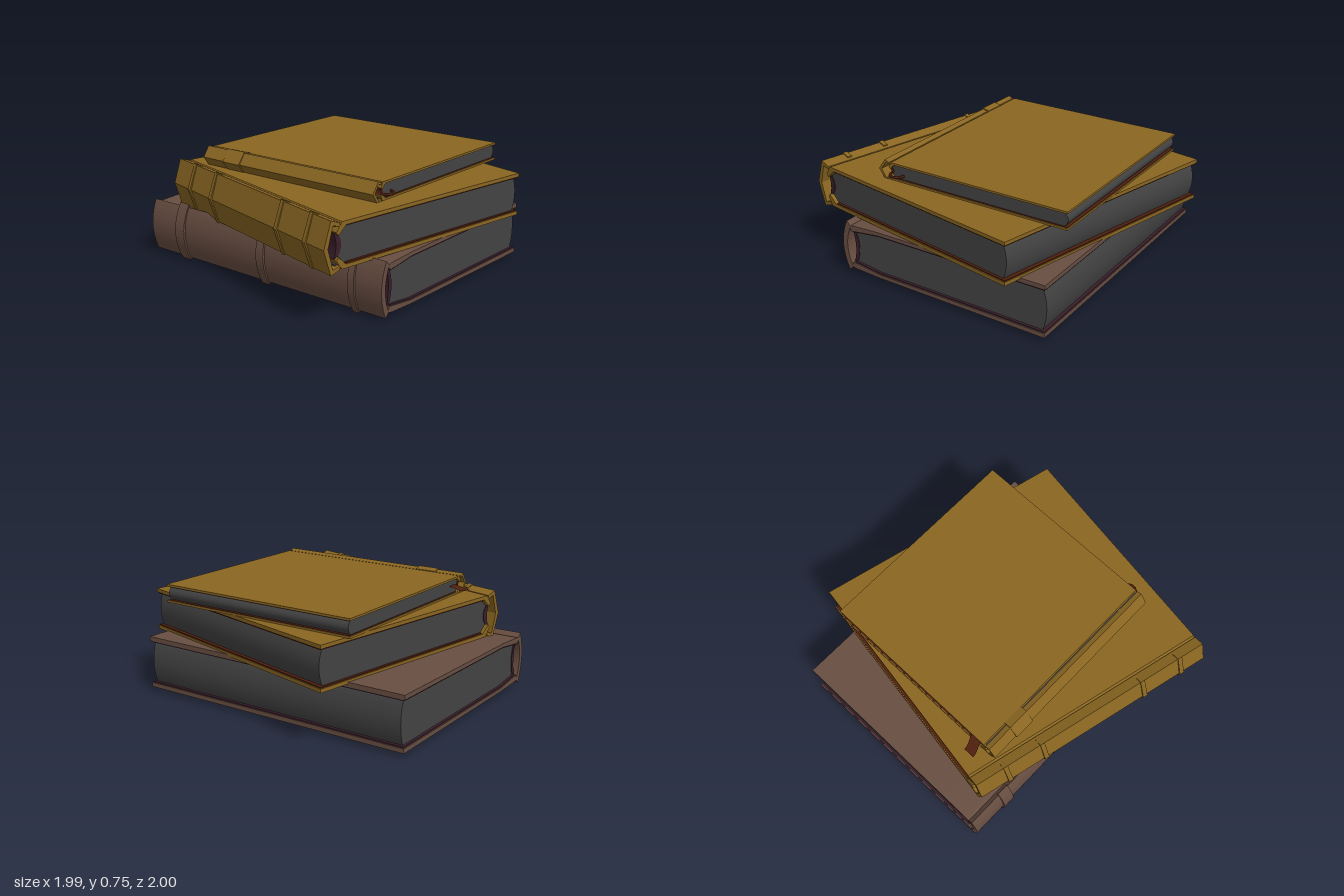
import * as THREE from 'three';

const mat = (name, color, side = THREE.FrontSide) => {
  const m = new THREE.MeshStandardMaterial({ color, side });
  m.name = name;
  return m;
};

// Outline from points: [x, y] is a line, [cx, cy, x, y] is a curve. s = -1 mirrors it in y.
function outline(points, s = 1) {
  const shape = new THREE.Shape();
  points.forEach((p, i) => {
    if (i === 0) shape.moveTo(p[0], s * p[1]);
    else if (p.length === 2) shape.lineTo(p[0], s * p[1]);
    else shape.quadraticCurveTo(p[0], s * p[1], p[2], s * p[3]);
  });
  return shape;
}

function slab(name, points, z0, z1, material, s = 1) {
  const geo = new THREE.ExtrudeGeometry(outline(points, s), { depth: z1 - z0, bevelEnabled: false, curveSegments: 14 });
  geo.translate(0, 0, z0);
  const mesh = new THREE.Mesh(geo, material);
  mesh.name = name;
  return mesh;
}

// A book lies flat with its spine along z on the -x side; profiles are centred on y = 0.
function book(name, d, matrix) {
  const g = new THREE.Group();
  g.name = name;
  const { z0, z1, inset, cover, lining, pagesMat } = d;
  for (const s of [1, -1]) {
    const side = s > 0 ? 'upper' : 'lower';
    g.add(slab(side + 'Cover', d.coverPts, z0, z1, cover, s));
    g.add(slab(side + 'Endpaper', d.endPts, z0 + 0.006, z1 - 0.006, lining, s));
    if (d.groovePts) g.add(slab(side + 'HingeGroove', d.groovePts, z0 + inset, z1 - inset, pagesMat, s));
  }
  g.add(slab('spine', d.spinePts, z0, z1, cover));
  g.add(slab('pages', d.pagePts, z0 + inset, z1 - inset, pagesMat));
  g.add(slab('headband', d.headPts, z0 + inset - 0.004, z1 - inset + 0.004, d.headMat));
  for (const [z, w] of d.bands) g.add(slab('spineBand', d.bandPts, z - w / 2, z + w / 2, cover));
  g.children.forEach((m) => m.geometry.applyMatrix4(matrix));
  return g;
}

export function createModel() {
  const model = new THREE.Group();
  model.name = 'bookStack';
  const brown = mat('brownLeather', 0x684e42);
  const gold = mat('goldLeather', 0x8a6621);
  const paper = mat('darkPaper', 0x434343);
  const plum = mat('plumLining', 0x3a1f2b);
  const red = mat('redRibbon', 0x4f1f0e, THREE.DoubleSide);

  // Bottom book: rounded spine standing off the pages
  model.add(book('bottomBook', {
    z0: -1, z1: 0.89, inset: 0.022, cover: brown, lining: plum, pagesMat: paper, headMat: plum,
    coverPts: [[-0.625, 0.14], [-0.6, 0.148], [-0.4, 0.158], [0.78, 0.168], [0.78, 0.14], [-0.4, 0.134], [-0.61, 0.108]],
    endPts: [[-0.6, 0.112], [-0.4, 0.135], [0.775, 0.141], [0.775, 0.132], [-0.4, 0.126], [-0.6, 0.102]],
    spinePts: [[-0.645, 0.17], [-0.725, 0, -0.645, -0.17], [-0.615, -0.14], [-0.685, 0, -0.615, 0.14]],
    pagePts: [[-0.595, 0.104], [-0.4, 0.128], [0.755, 0.134], [0.805, 0, 0.755, -0.134], [-0.4, -0.128], [-0.595, -0.104], [-0.55, 0, -0.595, 0.104]],
    headPts: [[-0.615, 0.112], [-0.592, 0.104], [-0.546, 0, -0.592, -0.104], [-0.615, -0.112], [-0.58, 0, -0.615, 0.112]],
    bandPts: [[-0.642, 0.19], [-0.755, 0, -0.642, -0.19], [-0.63, -0.16], [-0.7, 0, -0.63, 0.16]],
    bands: [[0.68, 0.045], [-0.02, 0.06], [-0.725, 0.08]],
  }, new THREE.Matrix4().makeTranslation(0, 0.192, 0)));

  // Middle book: turned and slightly skewed, with an angular spine
  const turn = new THREE.Matrix4().makeBasis(
    new THREE.Vector3(0.987, 0, 0.161), new THREE.Vector3(0, 1, 0), new THREE.Vector3(-0.2425, 0, 0.97));
  turn.setPosition(-0.005, 0.485, 0.07);
  model.add(book('middleBook', {
    z0: -0.825, z1: 0.825, inset: 0.022, cover: gold, lining: red, pagesMat: paper, headMat: plum,
    coverPts: [[-0.675, 0.135], [0.805, 0.135], [0.805, 0.112], [-0.645, 0.112], [-0.7, 0.06], [-0.715, 0.08]],
    endPts: [[-0.64, 0.113], [0.8, 0.113], [0.8, 0.105], [-0.64, 0.105]],
    groovePts: [[-0.71, 0.118], [-0.67, 0.118], [-0.67, 0.108], [-0.71, 0.108]],
    spinePts: [[-0.69, 0.133], [-0.755, 0.155], [-0.805, 0], [-0.755, -0.155], [-0.69, -0.133],
      [-0.69, -0.11], [-0.74, -0.125], [-0.775, 0], [-0.74, 0.125], [-0.69, 0.11]],
    pagePts: [[-0.645, 0.106], [0.775, 0.106], [0.82, 0, 0.775, -0.106], [-0.645, -0.106], [-0.695, -0.058], [-0.65, 0, -0.695, 0.058]],
    headPts: [[-0.72, 0.075], [-0.69, 0.06], [-0.645, 0, -0.69, -0.06], [-0.72, -0.075], [-0.69, 0, -0.72, 0.075]],
    bandPts: [[-0.71, 0.146], [-0.757, 0.163], [-0.815, 0], [-0.757, -0.163], [-0.71, -0.146],
      [-0.71, -0.13], [-0.745, -0.14], [-0.785, 0], [-0.745, 0.14], [-0.71, 0.13]],
    bands: [[-0.62, 0.03], [-0.36, 0.03], [0.37, 0.03], [0.65, 0.03]],
  }, turn));

  // Top book: thin, with a single wide spine band
  const top = book('topBook', {
    z0: -0.66, z1: 0.7, inset: 0.014, cover: gold, lining: red, pagesMat: paper, headMat: red,
    coverPts: [[-0.43, 0.057], [0.8, 0.057], [0.8, 0.044], [-0.405, 0.044], [-0.435, 0.015], [-0.447, 0.024]],
    endPts: [[-0.4, 0.045], [0.796, 0.045], [0.796, 0.041], [-0.4, 0.041]],
    groovePts: [[-0.448, 0.046], [-0.428, 0.046], [-0.428, 0.04], [-0.448, 0.04]],
    spinePts: [[-0.443, 0.055], [-0.475, 0.067], [-0.522, 0], [-0.475, -0.067], [-0.443, -0.055],
      [-0.443, -0.042], [-0.468, -0.05], [-0.503, 0], [-0.468, 0.05], [-0.443, 0.042]],
    pagePts: [[-0.405, 0.042], [0.775, 0.042], [0.82, 0, 0.775, -0.042], [-0.405, -0.042], [-0.43, -0.016], [-0.41, 0, -0.43, 0.016]],
    headPts: [[-0.444, 0.022], [-0.426, 0.016], [-0.405, 0, -0.426, -0.016], [-0.444, -0.022], [-0.425, 0, -0.444, 0.022]],
    bandPts: [[-0.428, 0.062], [-0.475, 0.074], [-0.531, 0], [-0.475, -0.074], [-0.428, -0.062],
      [-0.428, -0.056], [-0.47, -0.06], [-0.508, 0], [-0.47, 0.06], [-0.428, 0.056]],
    bands: [[-0.41, 0.14]],
  }, new THREE.Matrix4().makeTranslation(0, 0.675, 0));
  model.add(top);

  // Ribbon tail waving out of the back of the top book
  const tail = new THREE.PlaneGeometry(0.072, 0.13, 1, 14);
  const p = tail.attributes.position;
  for (let i = 0; i < p.count; i++) {
    const t = 0.5 - p.getY(i) / 0.13;
    p.setXYZ(i, p.getX(i) - 0.368 - 0.018 * Math.cos(t * Math.PI), 0.67 + 0.012 * Math.sin(t * 5 + 4), -0.745 + t * 0.13);
  }
  tail.computeVertexNormals();
  const ribbonTail = new THREE.Mesh(tail, red);
  ribbonTail.name = 'ribbonTail';

  // Ribbon loop curling out at the front
  const loop = new THREE.TorusGeometry(0.046, 0.008, 6, 16, Math.PI);
  loop.rotateX(Math.PI / 2);
  loop.translate(-0.388, 0.66, 0.69);
  const ribbonLoop = new THREE.Mesh(loop, red);
  ribbonLoop.name = 'ribbonLoop';
  top.add(ribbonTail, ribbonLoop);
  return model;
}
